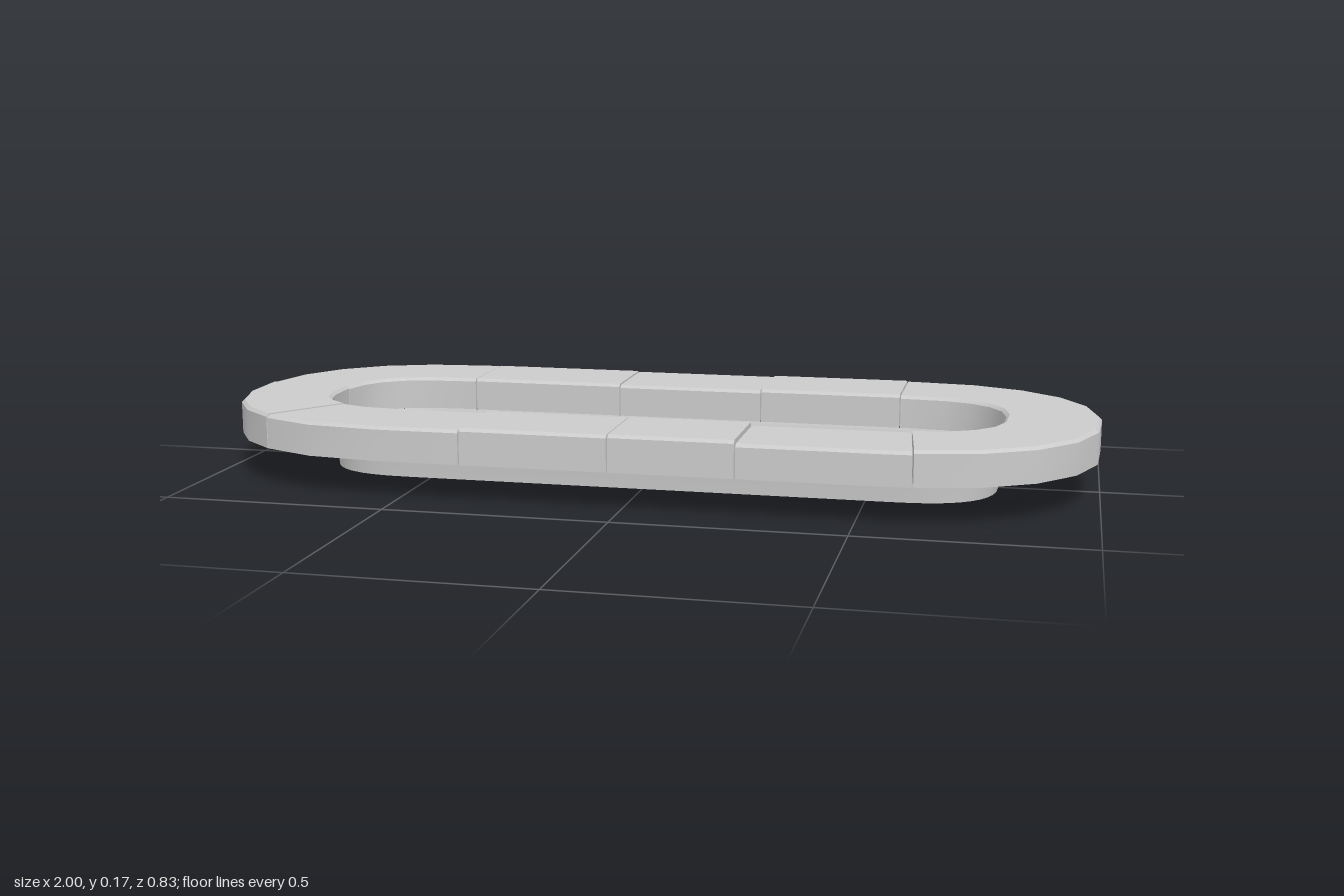
import * as THREE from 'three';
import { toCreasedNormals } from 'three/addons/utils/BufferGeometryUtils.js';

const material = new THREE.MeshStandardMaterial({ color: 0xcccccc });
const shellMaterial = new THREE.MeshStandardMaterial({ color: 0xcccccc, side: THREE.DoubleSide });

const BASE = 0.085, BEVEL = 0.007, GAP = 0.0015;
const CENTRE = 0.55; // x where the straight sides meet the rounded ends
const OUTER = { a: 0.45, b: 0.413, n: 2.25 };
const INNER = { a: 0.24, b: 0.206, n: 2.6 };

// Point on a rounded end; 90 degrees is the front side, -90 the back
function endPoint(side, degrees, { a, b, n }) {
  const t = THREE.MathUtils.degToRad(degrees), s = Math.sin(t);
  const x = CENTRE + a * Math.max(Math.cos(t), 0) ** (2 / n);
  return [side * x, b * Math.sign(s) * Math.abs(s) ** (2 / n)];
}

// Stations pair an outer point with an inner point
function bend(side, from, to, steps) {
  return Array.from({ length: steps + 1 }, (_, i) => {
    const angle = from + (to - from) * i / steps;
    return [endPoint(side, angle, OUTER), endPoint(side, angle, INNER)];
  });
}
const edge = (x, side) => [[x, side * OUTER.b], [x, side * INNER.b]];

// Joins equal-length rings of points into a surface, with optional end caps
function loft(rings, capped) {
  const n = rings[0].length, index = [];
  for (let k = 0; k < rings.length - 1; k++) {
    for (let j = 0; j < n; j++) {
      const a = k * n + j, d = k * n + (j + 1) % n;
      index.push(a, a + n, d + n, a, d + n, d);
    }
  }
  if (capped) {
    const e = (rings.length - 1) * n;
    for (let j = 1; j < n - 1; j++) index.push(0, j, j + 1, e, e + j + 1, e + j);
  }
  const geometry = new THREE.BufferGeometry();
  geometry.setAttribute('position', new THREE.Float32BufferAttribute(rings.flat(2), 3));
  geometry.setIndex(index);
  return toCreasedNormals(geometry, 0.65);
}

// Stone with bevelled top edges, swept through its stations
function stoneGeometry(top, stations) {
  const last = stations.length - 1;
  const rings = stations.map(([[ox, oz], [ix, iz]], k) => {
    // Pull the two ends back a little to leave a joint
    let sx = 0, sz = 0;
    if (k === 0 || k === last) {
      const [nx, nz] = stations[k === 0 ? 1 : last - 1][0];
      const len = Math.hypot(nx - ox, nz - oz);
      sx = (nx - ox) / len * GAP;
      sz = (nz - oz) / len * GAP;
    }
    const b = BEVEL / Math.hypot(ox - ix, oz - iz);
    const at = (t, y) => [ox + (ix - ox) * t + sx, y, oz + (iz - oz) * t + sz];
    return [at(0, BASE), at(0, top - BEVEL), at(b, top), at(1 - b, top), at(1, top - BEVEL), at(1, BASE)];
  });
  return loft(rings, true);
}

// Smooth basin outline, inset from the coping's inner edge
function basinOutline(inset) {
  const size = { a: INNER.a - inset, b: INNER.b - inset, n: INNER.n };
  const points = [];
  for (const side of [1, -1]) {
    for (let i = 0; i <= 20; i++) points.push(endPoint(side, side * (90 - 9 * i), size));
  }
  return points;
}

export function createModel() {
  const model = new THREE.Group();
  model.name = 'pool';

  // Stone coping, anticlockwise from the front right: top height and stations
  const stones = [
    [0.163, bend(1, 83, 12, 4)],
    [0.162, [...bend(1, 12, -90, 6), edge(0.535, -1)]],
    [0.164, [edge(0.535, -1), edge(0.2, -1)]],
    [0.161, [edge(0.2, -1), edge(-0.15, -1)]],
    [0.163, [edge(-0.15, -1), edge(-0.52, -1)]],
    [0.162, [edge(-0.52, -1), ...bend(-1, -90, -6, 5)]],
    [0.164, bend(-1, -6, 54, 4)],
    [0.162, [...bend(-1, 54, 90, 2), edge(-0.355, 1)]],
    [0.166, [edge(-0.355, 1), edge(-0.025, 1)]],
    [0.167, [edge(-0.025, 1), edge(0.25, 1)]],
    [0.16, [edge(0.25, 1), ...bend(1, 90, 83, 1)]],
  ];
  const coping = new THREE.Group();
  coping.name = 'coping';
  stones.forEach(([top, stations], i) => {
    const stone = new THREE.Mesh(stoneGeometry(top, stations), material);
    stone.name = `copingStone${i + 1}`;
    coping.add(stone);
  });
  model.add(coping);

  // Tapered basin wall: height and inset of each level
  const levels = [[0, 0.012], [0.045, 0.008], [0.075, 0.004], [BASE, 0]];
  const rings = levels.map(([y, inset]) => basinOutline(inset).map(([x, z]) => [x, y, z]));
  const wall = new THREE.Mesh(loft(rings, false), shellMaterial);
  wall.name = 'basinWall';
  model.add(wall);

  // Flat basin floor
  const shape = new THREE.Shape(basinOutline(levels[0][1]).map(([x, z]) => new THREE.Vector2(x, z)));
  const floor = new THREE.Mesh(new THREE.ShapeGeometry(shape).rotateX(-Math.PI / 2), shellMaterial);
  floor.name = 'basinFloor';
  model.add(floor);

  return model;
}
